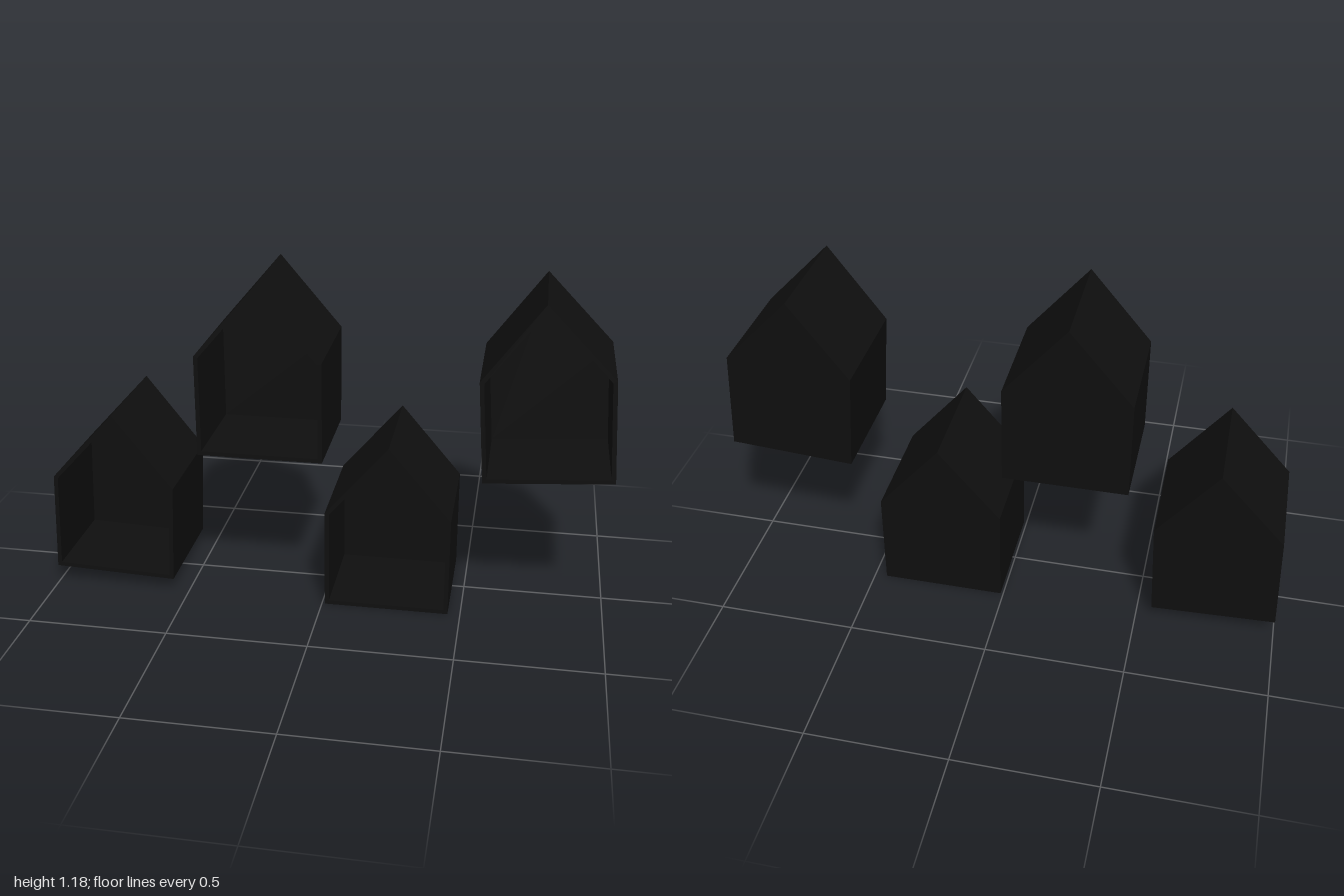
import * as THREE from 'three';

const WIDTH = 0.445, EAVE = 0.365, PEAK = 0.627, DEPTH = 0.416;
const WALL = 0.015, BACK = 0.06;

// House outline, moved inward by t on every side
function houseOutline(t, Type) {
  const slope = (PEAK - EAVE) / (WIDTH / 2);
  const drop = t * Math.hypot(1, slope);
  const half = WIDTH / 2 - t;
  const eave = EAVE + slope * t - drop;
  return new Type([
    new THREE.Vector2(-half, t),
    new THREE.Vector2(half, t),
    new THREE.Vector2(half, eave),
    new THREE.Vector2(0, PEAK - drop),
    new THREE.Vector2(-half, eave),
  ]);
}

export function createModel() {
  const model = new THREE.Group();
  model.name = 'houseShelves';
  const material = new THREE.MeshStandardMaterial({ color: 0x0f0f0f });

  // Thin walls, floor and pitched roof as one hollow extrusion
  const frameShape = houseOutline(0, THREE.Shape);
  frameShape.holes.push(houseOutline(WALL, THREE.Path));
  const frameGeometry = new THREE.ExtrudeGeometry(frameShape, { depth: DEPTH, bevelEnabled: false });
  frameGeometry.translate(0, 0, -DEPTH / 2);

  // Panel that closes the rear opening
  const backGeometry = new THREE.ExtrudeGeometry(houseOutline(WALL, THREE.Shape), { depth: BACK, bevelEnabled: false });
  backGeometry.translate(0, 0, -DEPTH / 2);

  // Bottom centre and tilt in degrees of each shelf
  const places = [
    [-0.778, 0.057, -2.3],
    [-0.221, 0.556, 0],
    [0.233, 0, 0],
    [0.777, 0.538, 3.9],
  ];
  places.forEach(([x, y, tilt], i) => {
    const shelf = new THREE.Group();
    shelf.name = `shelf${i + 1}`;
    const frame = new THREE.Mesh(frameGeometry, material);
    frame.name = 'frame';
    const back = new THREE.Mesh(backGeometry, material);
    back.name = 'backPanel';
    shelf.add(frame, back);
    shelf.position.set(x, y, 0);
    shelf.rotation.z = THREE.MathUtils.degToRad(tilt);
    model.add(shelf);
  });
  return model;
}
